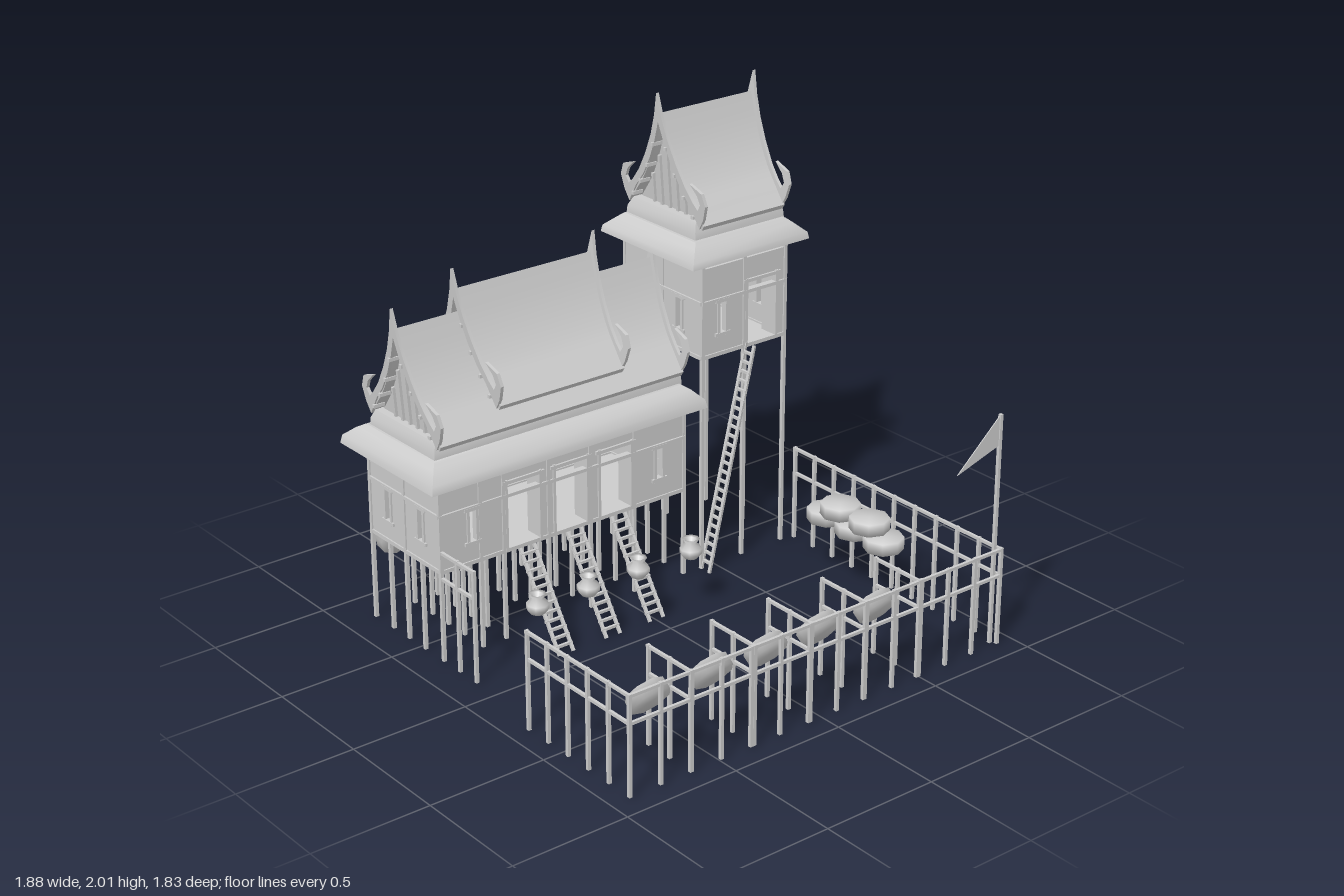
import * as THREE from 'three';
import { toCreasedNormals } from 'three/addons/utils/BufferGeometryUtils.js';

const MAT = new THREE.MeshStandardMaterial({ color: 0xcccccc, side: THREE.DoubleSide });
const V = (x, y, z) => new THREE.Vector3(x, y, z);

function add(parent, geo, name, x = 0, y = 0, z = 0) {
  const m = new THREE.Mesh(geo, MAT);
  m.name = name;
  m.position.set(x, y, z);
  parent.add(m);
  return m;
}
const box = (p, name, w, h, d, x, y, z) => add(p, new THREE.BoxGeometry(w, h, d), name, x, y, z);
function group(parent, name, x = 0, y = 0, z = 0) {
  const g = new THREE.Group();
  g.name = name;
  g.position.set(x, y, z);
  parent.add(g);
  return g;
}
// Square timber between two points
function beam(parent, name, a, b, t = 0.014) {
  const d = b.clone().sub(a), c = a.clone().add(b).multiplyScalar(0.5);
  const m = add(parent, new THREE.BoxGeometry(t, t, d.length()), name, c.x, c.y, c.z);
  m.quaternion.setFromUnitVectors(V(0, 0, 1), d.normalize());
}

// Stack of rectangular rings [y, halfX, halfZ], capped at both ends
function ringLoft(rings) {
  const pos = [], idx = [];
  rings.forEach(([y, a, b]) => pos.push(-a, y, b, a, y, b, a, y, -b, -a, y, -b));
  for (let r = 0; r < rings.length - 1; r++)
    for (let i = 0; i < 4; i++) {
      const a = r * 4 + i, b = r * 4 + (i + 1) % 4;
      idx.push(a, b, b + 4, a, b + 4, a + 4);
    }
  const t = (rings.length - 1) * 4;
  idx.push(0, 2, 1, 0, 3, 2, t, t + 1, t + 2, t, t + 2, t + 3);
  const g = new THREE.BufferGeometry();
  g.setAttribute('position', new THREE.Float32BufferAttribute(pos, 3));
  g.setIndex(idx);
  return toCreasedNormals(g, 0.7);
}

// Wall facing +z with framed openings [x, bottom, width, height, isDoor]
function wall(parent, name, w, h, openings, rotY, x, z) {
  const g = group(parent, name, x, 0, z);
  g.rotation.y = rotY;
  const s = new THREE.Shape([[-w / 2, 0], [w / 2, 0], [w / 2, h], [-w / 2, h]].map(p => new THREE.Vector2(...p)));
  for (const [cx, y, ow, oh, door] of openings) {
    const a = cx - ow / 2, b = cx + ow / 2, c = y + oh;
    s.holes.push(new THREE.Path([[a, y], [a, c], [b, c], [b, y]].map(p => new THREE.Vector2(...p))));
    for (const e of [a, b]) box(g, 'openingJamb', 0.012, oh + 0.02, 0.026, e, y + oh / 2, 0);
    box(g, 'openingLintel', ow + 0.035, 0.014, 0.03, cx, c, 0);
    if (door) for (const e of [a, b]) box(g, 'openDoorLeaf', 0.008, oh, 0.07, e, y + oh / 2, -0.04);
    else box(g, 'windowSill', ow + 0.035, 0.014, 0.03, cx, y, 0);
  }
  const geo = new THREE.ExtrudeGeometry(s, { depth: 0.012, bevelEnabled: false });
  add(g, geo.translate(0, 0, -0.006), 'wallPanel');
  box(g, 'wallRail', w + 0.015, 0.014, 0.028, 0, 0.3 * h / 0.39 - 0.06 + 0.005, 0);
  box(g, 'sillBeam', w + 0.015, 0.016, 0.024, 0, 0.006, 0);
}

// Concave roof slope: half width and height, from ridge to eave
const SLOPE = new THREE.SplineCurve([[0, 0.415], [0.04, 0.305], [0.085, 0.21], [0.135, 0.13], [0.185, 0.07], [0.245, 0]]
  .map(p => new THREE.Vector2(...p))).getPoints(14);
const mirrored = half => half.concat(half.filter(p => p.x > 1e-4).reverse().map(p => new THREE.Vector2(-p.x, p.y)));
// Gable board outline with ridge spike and upturned hooked ends
const BARGE = [[0, 0.5], [0.022, 0.405], [0.052, 0.318], [0.095, 0.228], [0.145, 0.145], [0.19, 0.09], [0.22, 0.062],
  [0.238, 0.09], [0.222, 0.125], [0.178, 0.165], [0.25, 0.14], [0.27, 0.09], [0.252, 0.03], [0.225, -0.015],
  [0.17, 0.07], [0.12, 0.128], [0.07, 0.21], [0.03, 0.295], [0, 0.38]].map(p => new THREE.Vector2(...p));
function mirrorOutline(half) {
  const inner = half.slice(1, -1).reverse().map(p => new THREE.Vector2(-p.x, p.y));
  return new THREE.Shape(half.concat(inner));
}
// Extrude a gable profile along x; ends lean outward with height
function gableExtrude(shape, length, centreX, lean) {
  const g = new THREE.ExtrudeGeometry(shape, { depth: length, bevelEnabled: false });
  g.translate(0, 0, -length / 2).rotateY(Math.PI / 2).translate(centreX, 0, 0);
  const p = g.attributes.position;
  for (let i = 0; i < p.count; i++) p.setX(i, p.getX(i) + Math.sign(p.getX(i)) * lean * p.getY(i));
  g.deleteAttribute('normal');
  return toCreasedNormals(g, 0.5);
}
function gableRoof(parent, name, half, x, y) {
  const g = group(parent, name, x, y, 0), lean = 0.075;
  const under = SLOPE.map(p => new THREE.Vector2(p.x * 0.95, p.y - 0.02)).reverse();
  const shell = new THREE.Shape([...SLOPE, ...under, ...under.slice(0, -1).reverse().map(p => new THREE.Vector2(-p.x, p.y)),
    ...SLOPE.slice(1).reverse().map(p => new THREE.Vector2(-p.x, p.y))]);
  add(g, gableExtrude(shell, 2 * half, 0, lean), 'roofShell');
  const fill = mirrored(SLOPE.map(p => new THREE.Vector2(p.x * 0.9, Math.max(p.y - 0.03, 0))));
  add(g, gableExtrude(new THREE.Shape(fill), 2 * half - 0.07, 0, lean), 'gableInfill');
  for (const s of [-1, 1]) {
    add(g, gableExtrude(mirrorOutline(BARGE), 0.014, s * half, lean), 'bargeBoard');
    for (const [z, h] of [[-0.1, 0.13], [-0.05, 0.22], [0, 0.34], [0.05, 0.22], [0.1, 0.13]])
      box(g, 'gableSlat', 0.014, h, 0.012, s * (half - 0.03 + lean * h / 2), h / 2, z).rotation.z = -s * lean;
    for (const k of [3, 6, 9, 12]) for (const t of [-1, 1])
      box(g, 'purlinEnd', 0.05, 0.014, 0.014, s * (half - 0.012 + lean * SLOPE[k].y),
        SLOPE[k].y - 0.022, t * SLOPE[k].x * 0.94);
  }
}

// Walled storey on stilts; local y = 0 is the floor
function storey(parent, name, o) {
  const g = group(parent, name, o.x, o.floor, -0.58), { hx, hz, h } = o;
  box(g, 'floor', 2 * hx, 0.014, 2 * hz, 0, 0, 0);
  wall(g, 'frontWall', 2 * hx, h, o.front, 0, 0, hz);
  wall(g, 'backWall', 2 * hx, h, o.back, Math.PI, 0, -hz);
  wall(g, 'leftWall', 2 * hz, h, o.side, Math.PI / 2, hx, 0);
  wall(g, 'rightWall', 2 * hz, h, o.side, -Math.PI / 2, -hx, 0);
  for (const x of o.postX) for (const z of o.postZ) {
    const sideWall = Math.abs(x) === hx, edge = Math.abs(z) === hz || (sideWall && z === 0);
    if (!edge && !sideWall && !o.innerStilts) continue;
    const top = edge ? o.eave + 0.01 : 0;
    box(g, 'stilt', 0.015, o.floor + top, 0.015, x * 1.008, (top - o.floor) / 2, z * 1.02);
  }
  return g;
}

function ladder(parent, name, a, b, side, count) {
  const g = group(parent, name);
  for (const s of [-1, 1]) beam(g, 'ladderRail', a.clone().addScaledVector(side, s), b.clone().addScaledVector(side, s), 0.012);
  for (let i = 1; i <= count; i++) {
    const c = a.clone().lerp(b, i / (count + 1));
    beam(g, 'rung', c.clone().addScaledVector(side, -1.25), c.clone().addScaledVector(side, 1.25), 0.011);
  }
}

function fence(parent, name, a, b, spans, height = 0.42) {
  const g = group(parent, name);
  for (let i = 0; i <= spans; i++) {
    const p = a.clone().lerp(b, i / spans);
    box(g, 'fencePost', 0.014, height, 0.014, p.x, height / 2, p.z);
  }
  for (const y of [height - 0.008, height - 0.12]) beam(g, 'fenceRail', V(a.x, y, a.z), V(b.x, y, b.z), 0.012);
}

const lathe = pts => new THREE.LatheGeometry(pts.map(p => new THREE.Vector2(...p)), 8);

export function createModel() {
  const root = new THREE.Group();
  root.name = 'stiltHouseCompound';
  const win = x => [x, 0.09, 0.042, 0.145, false], door = (x, w, h) => [x, 0.012, w, h, true];

  // Long house
  const house = storey(root, 'longHouse', {
    x: -0.26, floor: 0.38, hx: 0.595, hz: 0.235, h: 0.385, eave: 0.38, innerStilts: true,
    front: [win(-0.45), door(-0.207, 0.165, 0.285), door(0.025, 0.165, 0.285), door(0.247, 0.165, 0.285), win(0.47)],
    back: [-0.47, -0.25, -0.025, 0.19, 0.45].map(win), side: [-0.113, 0.113].map(win),
    postX: [-0.595, -0.41, -0.3, -0.085, 0.12, 0.34, 0.595], postZ: [-0.235, -0.11, 0, 0.11, 0.235],
  });
  add(house, ringLoft([[0.38, 0.67, 0.32], [0.415, 0.663, 0.313], [0.455, 0.625, 0.265], [0.472, 0.6, 0.235]]), 'skirtRoof', -0.01);
  add(house, ringLoft([[0.465, 0.602, 0.222], [0.5, 0.6, 0.22], [0.535, 0.585, 0.205]]), 'roofBase', 0.002);
  gableRoof(house, 'mainRoof', 0.59, 0.005, 0.53);
  gableRoof(house, 'raisedRoof', 0.3, -0.005, 0.625);

  // Watch tower
  const tower = storey(root, 'watchTower', {
    x: 0.645, floor: 0.94, hx: 0.215, hz: 0.245, h: 0.385, eave: 0.42, innerStilts: false,
    front: [win(-0.115), door(0.09, 0.16, 0.275)], back: [-0.09, 0.115].map(win), side: [-0.107, 0.107].map(win),
    postX: [-0.215, 0, 0.215], postZ: [-0.245, 0, 0.245],
  });
  add(tower, ringLoft([[0.42, 0.303, 0.3], [0.448, 0.298, 0.295], [0.488, 0.255, 0.25], [0.505, 0.235, 0.23]]), 'skirtRoof', -0.01, 0, 0.01);
  add(tower, ringLoft([[0.5, 0.232, 0.222], [0.535, 0.23, 0.218], [0.572, 0.212, 0.2]]), 'roofBase');
  gableRoof(tower, 'towerRoof', 0.212, 0.003, 0.565);

  // Ladders
  for (const x of [-0.452, -0.22, 0]) ladder(root, 'houseLadder', V(x, 0, -0.09), V(x, 0.38, -0.345), V(0.034, 0, 0), 12);
  ladder(root, 'towerLadder', V(0.425, 0, -0.3), V(0.655, 0.96, -0.3), V(0, 0, 0.026), 24);

  // Fences
  fence(root, 'frontFence', V(-0.915, 0, 0.905), V(0.922, 0, 0.905), 13);
  fence(root, 'leftFence', V(0.922, 0, 0.905), V(0.922, 0, -0.31), 10);
  fence(root, 'rightFence', V(-0.915, 0, 0.905), V(-0.915, 0, 0.295), 5);
  for (const x of [-0.635, -0.335, -0.06, 0.21, 0.488]) fence(root, 'stallFence', V(x, 0, 0.905), V(x, 0, 0.66), 2);
  fence(root, 'houseFence', V(-0.86, 0, -0.12), V(-0.86, 0, -0.34), 2, 0.48);

  // Round shields: on the fence, behind the house, and stacked
  const shield = lathe([[0, -0.026], [0.084, -0.026], [0.084, 0.026], [0, 0.026]]);
  for (const x of [-0.758, -0.465, -0.202, 0.057, 0.345]) add(root, shield, 'fenceShield', x, 0.317, 0.81).rotation.x = -0.96;
  for (const x of [-0.725, -0.54, 0.13]) add(root, shield, 'backShield', x, 0.31, -0.868).rotation.x = -1.32;
  for (const [y, z] of [[0.276, 0.37], [0.276, 0.2], [0.276, 0.03], [0.329, 0.285], [0.329, 0.11]])
    add(root, shield, 'stackedShield', 0.8, y, z);

  // Water jars
  const jar = lathe([[0, 0], [0.028, 0], [0.046, 0.022], [0.046, 0.042], [0.024, 0.066], [0.036, 0.084], [0.022, 0.08], [0.016, 0.06], [0, 0.05]]);
  for (const x of [-0.605, -0.36, -0.113, 0.155]) add(root, jar, 'waterJar', x, 0.24, -0.065);

  // Flag
  const flag = group(root, 'flag', 0.9, 0, 0.883);
  box(flag, 'flagPole', 0.014, 0.985, 0.014, 0.005, 0.4925, 0);
  const cloth = new THREE.Shape([[0, 0.98], [-0.215, 0.79], [0, 0.855]].map(p => new THREE.Vector2(...p)));
  add(flag, new THREE.ExtrudeGeometry(cloth, { depth: 0.004, bevelEnabled: false }), 'pennant', 0, 0, -0.002);
  return root;
}
